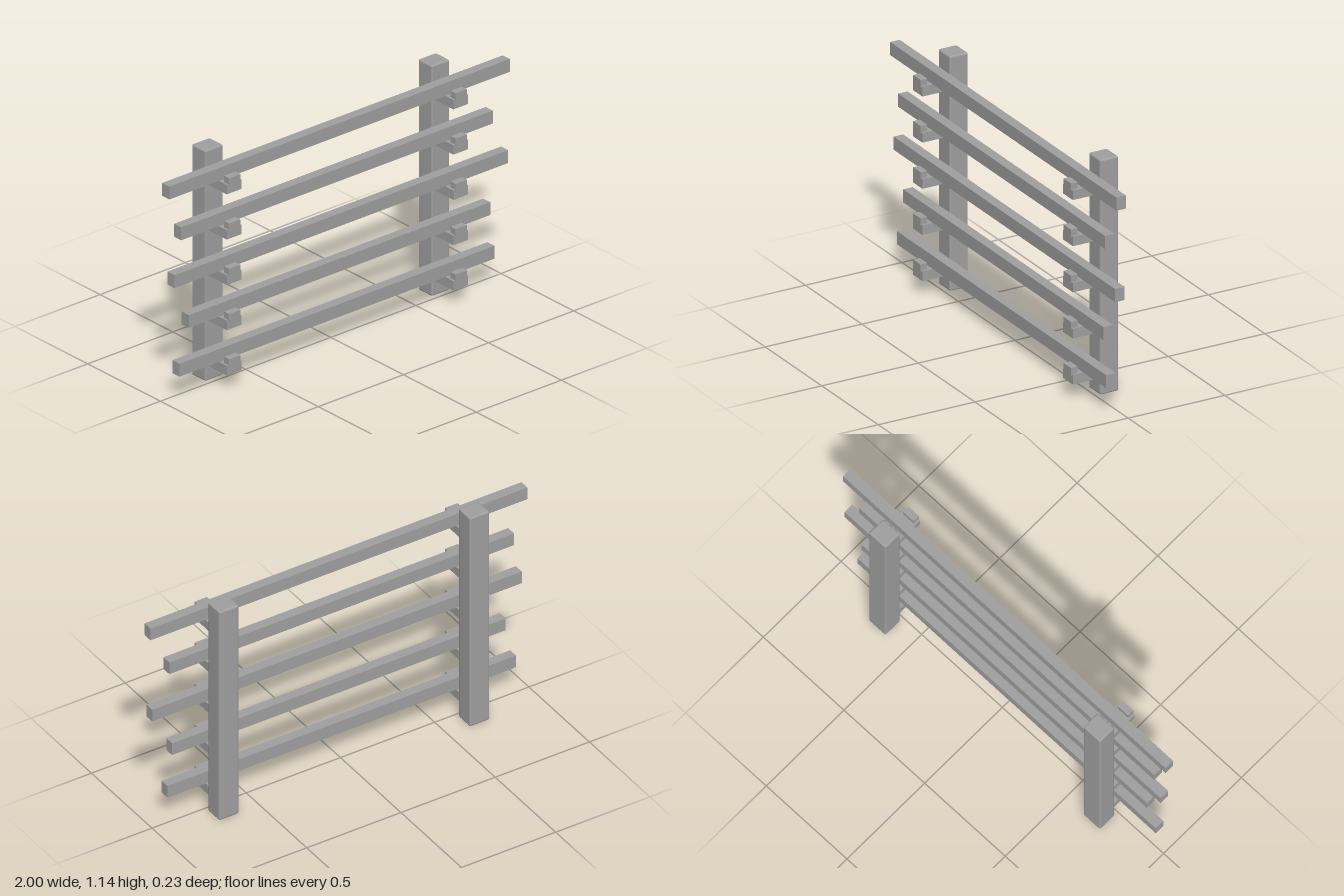
import * as THREE from 'three';
import { RoundedBoxGeometry } from 'three/addons/geometries/RoundedBoxGeometry.js';

export function createModel() {
  const group = new THREE.Group();
  group.name = 'wallRack';
  const grey = new THREE.MeshStandardMaterial({ color: 0xa0a0a0, flatShading: true });
  grey.name = 'plain grey';

  function add(name, geometry, x, y, z) {
    const mesh = new THREE.Mesh(geometry, grey);
    mesh.name = name;
    mesh.position.set(x, y, z);
    group.add(mesh);
  }

  // box given by its min and max corners
  function box(name, x0, x1, y0, y1, z0, z1) {
    add(name, new THREE.BoxGeometry(x1 - x0, y1 - y0, z1 - z0),
      (x0 + x1) / 2, (y0 + y1) / 2, (z0 + z1) / 2);
  }

  const postX = 0.665;
  // left and right ends of each rail, lowest first
  const rails = [[-0.94, 0.91], [-0.885, 0.885], [-0.97, 0.99], [-0.93, 0.9], [-1, 1]];

  // chamfered upright posts
  for (const side of [-1, 1]) {
    const name = side > 0 ? 'leftPost' : 'rightPost';
    add(name, new RoundedBoxGeometry(0.104, 1.145, 0.094, 1, 0.007), side * postX, 0.5725, -0.069);
  }

  rails.forEach(([x0, x1], i) => {
    const top = 0.125 + i * 0.225;
    // bracket arm with a raised lip at its tip, on each post
    for (const side of [-1, 1]) {
      const x = side * postX;
      box('bracketArm', x - 0.043, x + 0.043, top - 0.047, top, -0.03, 0.115);
      box('bracketLip', x - 0.033, x + 0.033, top - 0.005, top + 0.031, 0.085, 0.119);
    }
    // rail resting on the arms
    box('rail', x0, x1, top, top + 0.064, 0.012, 0.061);
  });

  return group;
}
